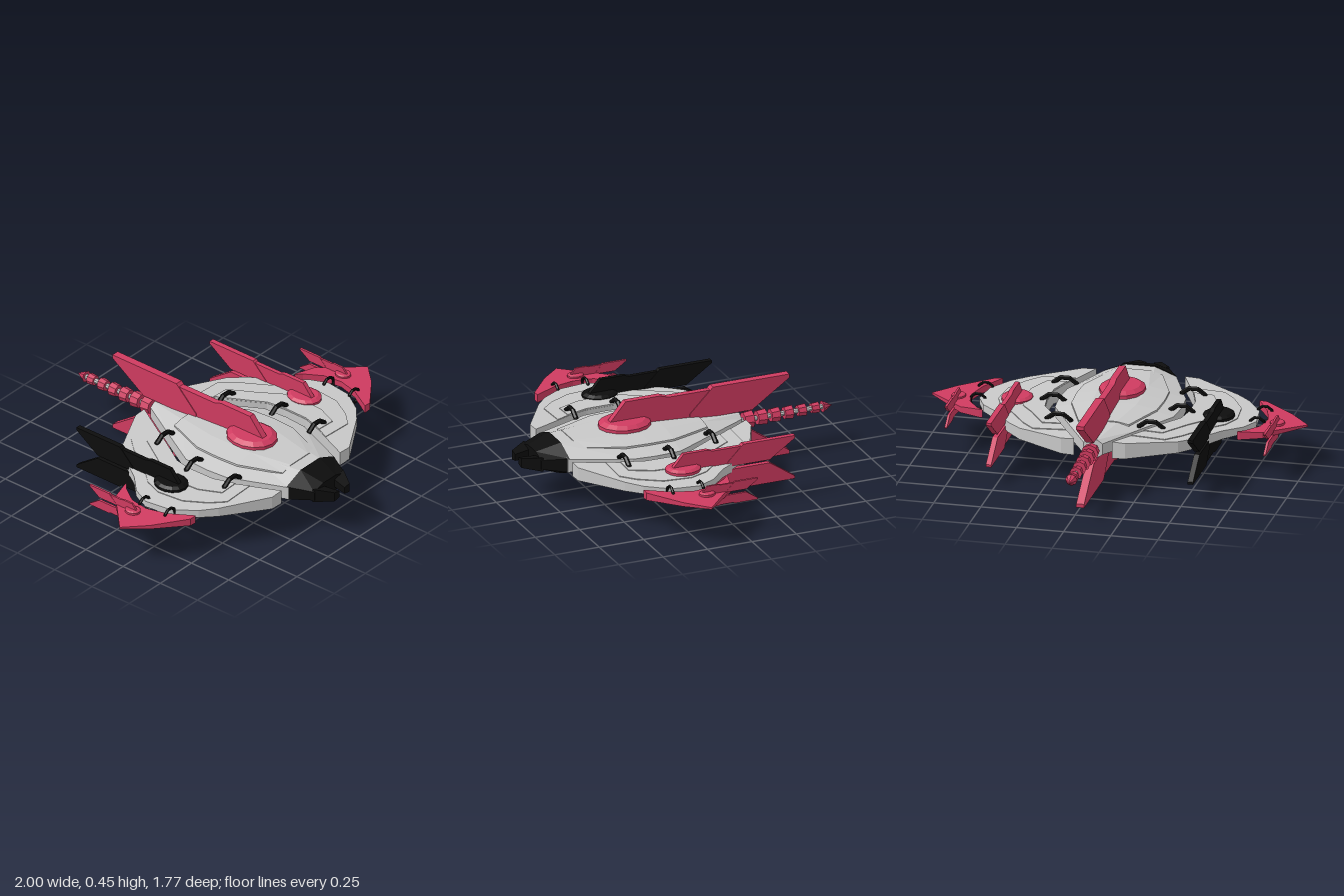
import * as THREE from 'three';

const paint = (name, color) => {
  const m = new THREE.MeshStandardMaterial({ color, flatShading: true });
  m.name = name;
  return m;
};

// Joins counter-clockwise [x, y] rings placed at rising z into a closed solid
function loft(sections) {
  const pos = [];
  const tri = (...pts) => pts.forEach((p) => pos.push(...p));
  const rings = sections.map(({ z, ring }) => ring.map(([x, y]) => [x, y, z]));
  const n = rings[0].length;
  for (let k = 0; k < rings.length - 1; k++) {
    const a = rings[k], b = rings[k + 1];
    for (let i = 0; i < n; i++) {
      const j = (i + 1) % n;
      tri(a[i], a[j], b[j]);
      tri(a[i], b[j], b[i]);
    }
  }
  const first = rings[0], last = rings[rings.length - 1];
  for (let i = 1; i < n - 1; i++) {
    tri(first[0], first[i + 1], first[i]);
    tri(last[0], last[i], last[i + 1]);
  }
  const g = new THREE.BufferGeometry();
  g.setAttribute('position', new THREE.Float32BufferAttribute(pos, 3));
  g.computeVertexNormals();
  return g;
}

// Hull section: half width w, half height t at the middle and e at the edge
const hullRing = (w, t, e, flat = 0.4) => [
  [w, -e], [w, e], [w * flat, t], [-w * flat, t],
  [-w, e], [-w, -e], [-w * flat, -t], [w * flat, -t],
];

// Side plate from [z, inner x, outer x] stations; thick(x) gives half height
function sidePlate(side, stations, thick) {
  return loft(stations.map(([z, a, b]) => {
    const ring = [[a, -thick(a)], [b, -thick(b)], [b, thick(b)], [a, thick(a)]];
    return { z, ring: side > 0 ? ring : ring.map(([x, y]) => [-x, y]).reverse() };
  }));
}

export function createModel() {
  const grey = paint('hullGrey', 0xc8c8c8);
  const red = paint('crimson', 0xcf3b60);
  const black = paint('black', 0x0d0d0d);

  const model = new THREE.Group();
  model.name = 'spaceship';
  const ship = new THREE.Group();
  ship.name = 'ship';
  ship.position.y = 0.225;
  model.add(ship);
  const add = (parent, name, geo, mat) => {
    const m = new THREE.Mesh(geo, mat);
    m.name = name;
    parent.add(m);
    return m;
  };

  // Central hull with a slightly raised spine plate
  const hull = [
    [-0.36, 0.05, 0.05, 0.03], [-0.13, 0.185, 0.066, 0.034], [0.1, 0.315, 0.08, 0.034],
    [0.24, 0.325, 0.084, 0.034], [0.37, 0.315, 0.084, 0.034], [0.68, 0.187, 0.08, 0.036],
  ];
  add(ship, 'hull', loft(hull.map(([z, w, t, e]) => ({ z, ring: hullRing(w, t, e) }))), grey);
  add(ship, 'spinePlate', loft(hull.slice(1).map(([z, w, t, e]) => (
    { z: Math.min(z, 0.6), ring: hullRing(w * 0.72, t + 0.005, (t + e) / 2 + 0.009, 0.52) }))), grey);

  // Black nose with two prongs
  add(ship, 'nose', loft([
    { z: 0.67, ring: hullRing(0.19, 0.086, 0.038) },
    { z: 0.8, ring: hullRing(0.122, 0.046, 0.025) },
  ]), black);
  for (const side of [1, -1]) {
    add(ship, 'noseProng', sidePlate(side, [[0.79, 0.043, 0.124], [0.885, 0.02, 0.06]],
      (x) => 0.018 + 0.2 * Math.max(0, x - 0.02)), black);
  }

  // Wings, their raised panels and the pointed wing tips
  const wing = [
    [-0.36, 0.1, 0.17], [-0.24, 0.17, 0.42], [-0.16, 0.217, 0.5], [-0.01, 0.305, 0.6],
    [0.08, 0.36, 0.69], [0.18, 0.375, 0.735], [0.33, 0.373, 0.715], [0.45, 0.335, 0.635],
    [0.52, 0.303, 0.555], [0.675, 0.235, 0.31],
  ];
  const wingThick = (x) => 0.05 - 0.045 * x;
  const panel = (from, to, f) => wing.slice(from, to)
    .map(([z, a, b]) => [z, a + 0.002, a + (b - a) * f]);
  const tip = [
    [0, 0.675, 0.69], [0.03, 0.71, 0.8], [0.12, 0.77, 0.89], [0.225, 0.785, 0.998],
    [0.34, 0.755, 0.89], [0.47, 0.68, 0.72],
  ];
  for (const side of [1, -1]) {
    add(ship, 'wing', sidePlate(side, wing, wingThick), grey);
    add(ship, 'wingPanel', sidePlate(side, panel(1, 9, 0.72), (x) => wingThick(x) + 0.004), grey);
    add(ship, 'wingInnerPanel', sidePlate(side, panel(2, 8, 0.36), (x) => wingThick(x) + 0.008), grey);
    add(ship, 'wingTip', sidePlate(side, tip, (x) => 0.06 - 0.055 * x), red);

    // Rings bridging the gaps between hull, wings and tips
    const links = [
      [0.245, -0.1, 0.078], [0.34, 0.175, 0.074], [0.34, 0.43, 0.074],
      [0.74, 0.175, 0.042], [0.74, 0.345, 0.042],
    ];
    for (const [x, z, r] of links) {
      const tube = r > 0.05 ? 0.013 : 0.008;
      add(ship, 'linkRing', new THREE.TorusGeometry(r, tube, 6, 10), black)
        .position.set(side * x, 0, z);
    }
  }

  // Swept blade in the zy plane, extruded across x
  const bladePart = (points, width) => {
    const shape = new THREE.Shape(points.map(([z, y]) => new THREE.Vector2(z, y)));
    return new THREE.ExtrudeGeometry(shape, { depth: width, bevelEnabled: false })
      .translate(0, 0, -width / 2).rotateY(-Math.PI / 2);
  };
  const neckGeo = bladePart([[0.14, -0.03], [0, 0.135], [-0.195, 0.135], [-0.24, 0.12],
    [-0.5, 0.12], [-0.37, -0.03]], 0.034);
  const bladeGeo = bladePart([[-0.36, -0.03], [-0.36, 0.005], [-0.49, 0.135], [-0.92, 0.135],
    [-0.92, 0.115], [-0.71, -0.03]], 0.042);
  const mountGeo = new THREE.LatheGeometry([[0.12, -0.025], [0.12, 0.018], [0.095, 0.035], [0, 0.035]]
    .map(([x, y]) => new THREE.Vector2(x, y)), 14).scale(1, 1, 1.17);

  // Each fin stands on an oval mount, above and below
  function addFin(x, y, z, size, mat) {
    for (const up of [true, false]) {
      const fin = new THREE.Group();
      fin.name = up ? 'upperFin' : 'lowerFin';
      add(fin, 'finMount', mountGeo, mat);
      add(fin, 'finNeck', neckGeo, mat);
      add(fin, 'finBlade', bladeGeo, mat);
      fin.scale.setScalar(size);
      fin.position.set(x, up ? y : -y, z);
      if (!up) fin.rotation.z = Math.PI;
      ship.add(fin);
    }
  }
  addFin(0, 0.088, 0.28, 1, red);
  addFin(0.535, 0.029, 0.185, 0.68, red);
  addFin(-0.535, 0.029, 0.185, 0.68, black);
  for (const side of [1, -1]) addFin(side * 0.845, 0.018, 0.185, 0.31, red);

  // Segmented tail on a thin rod, ending in a spike
  add(ship, 'tailRod', new THREE.CylinderGeometry(0.014, 0.014, 0.5, 8).rotateX(Math.PI / 2), grey)
    .position.z = -0.59;
  for (let i = 0; i < 6; i++) {
    const r = 0.047 - i * 0.0033;
    add(ship, 'tailSegment', new THREE.CylinderGeometry(r * 0.88, r, 0.05 - i * 0.002, 8)
      .rotateX(Math.PI / 2), red).position.z = -0.412 - i * 0.0755;
  }
  add(ship, 'tailSpike', new THREE.ConeGeometry(0.032, 0.056, 8).rotateX(-Math.PI / 2), red)
    .position.z = -0.86;

  return model;
}
